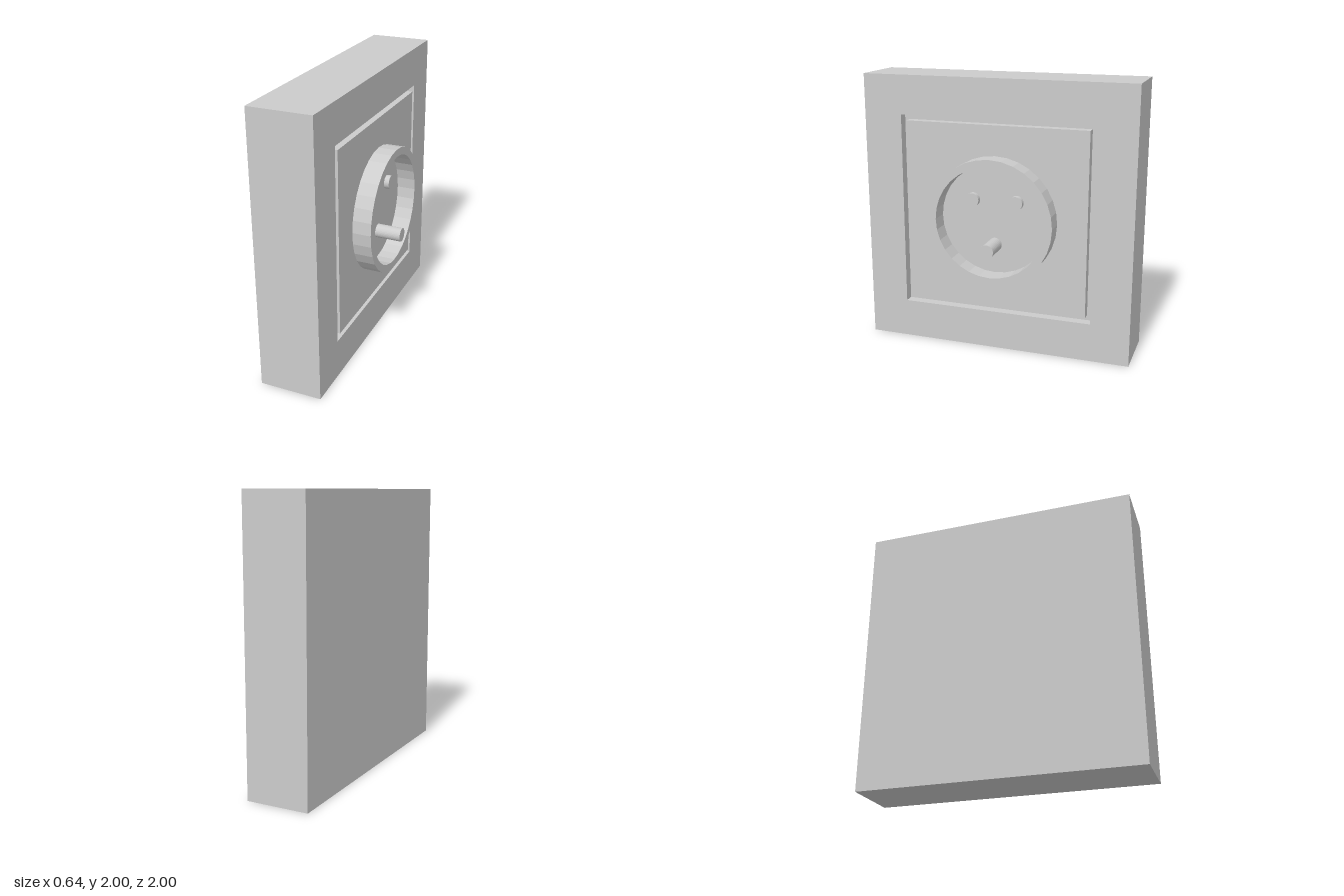
import * as THREE from 'three';

const FACE = 0.13;    // x of the wall-plate face
const BACK = -0.32;
const GROOVE = 0.07;  // depth of the square groove
const CY = 1;         // height of the centre

export function createModel() {
  const group = new THREE.Group();
  group.name = 'wallSocket';
  const material = new THREE.MeshStandardMaterial({ color: 0xcccccc, flatShading: true });

  const add = (name, geometry, x, y, z) => {
    const mesh = new THREE.Mesh(geometry, material);
    mesh.name = name;
    mesh.position.set(x, y, z);
    group.add(mesh);
  };

  const square = (path, h) =>
    path.moveTo(-h, -h).lineTo(h, -h).lineTo(h, h).lineTo(-h, h).closePath();

  // extrude an outline along +x
  const extrudeX = (shape, depth) =>
    new THREE.ExtrudeGeometry(shape, { depth, bevelEnabled: false, curveSegments: 16 })
      .rotateY(Math.PI / 2);

  // back slab, whose front is the groove floor
  const slab = FACE - GROOVE - BACK;
  add('backBox', new THREE.BoxGeometry(slab, 2, 2), BACK + slab / 2, CY, 0);

  // surrounding frame with a square opening
  const frame = square(new THREE.Shape(), 1);
  frame.holes.push(square(new THREE.Path(), 0.715));
  add('frame', extrudeX(frame, GROOVE), FACE - GROOVE, CY, 0);

  // centre panel, flush with the frame
  add('panel', new THREE.BoxGeometry(GROOVE, 1.35, 1.35), FACE - GROOVE / 2, CY, 0);

  // raised ring around the contacts
  const ring = new THREE.Shape().absarc(0, 0, 0.458, 0, Math.PI * 2);
  ring.holes.push(new THREE.Path().absarc(0, 0, 0.403, 0, Math.PI * 2, true));
  add('socketRing', extrudeX(ring, 0.135), FACE, CY, 0);

  // earth pin and two short contacts
  const peg = (name, length, y, z) =>
    add(name, new THREE.CylinderGeometry(0.05, 0.05, length, 32).rotateZ(-Math.PI / 2),
      FACE + length / 2, y, z);
  peg('earthPin', 0.19, 0.81, 0);
  for (const side of [1, -1]) peg(side > 0 ? 'contactA' : 'contactB', 0.037, 1.135, side * 0.163);

  return group;
}
